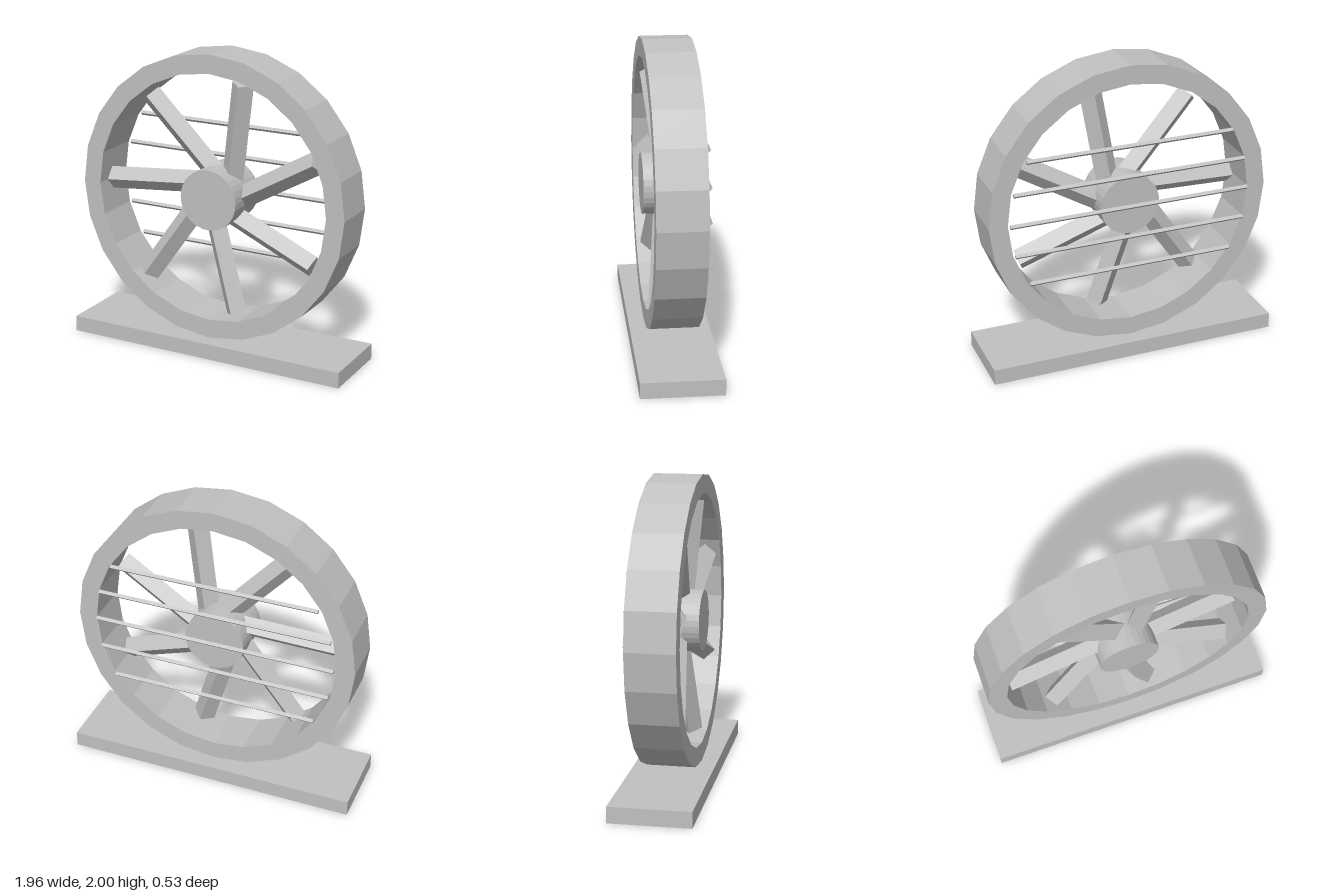
import * as THREE from 'three';

const AXLE_Y = 1.053;
const BLADES = 7;

export function createModel() {
  const gray = new THREE.MeshStandardMaterial({ color: 0xc0c0c0, flatShading: true });
  gray.name = 'plain gray';

  const model = new THREE.Group();
  model.name = 'fan';
  const add = (name, geometry, parent = model) => {
    const mesh = new THREE.Mesh(geometry, gray);
    mesh.name = name;
    parent.add(mesh);
    return mesh;
  };

  // Flat foot slab
  add('base', new THREE.BoxGeometry(1.96, 0.105, 0.526)).position.y = 0.0525;

  // Round housing: a rectangular section turned in 24 facets
  const inner = 0.823, outer = 0.947, half = 0.158;
  const section = [
    [inner, -half], [outer, -half], [outer, half], [inner, half], [inner, -half],
  ].map(([r, h]) => new THREE.Vector2(r, h));
  const ring = new THREE.LatheGeometry(section, 24).rotateX(Math.PI / 2);
  add('housingRing', ring).position.y = AXLE_Y;

  // Hub and blades
  const rotor = new THREE.Group();
  rotor.name = 'rotor';
  rotor.position.y = AXLE_Y;
  model.add(rotor);
  const hub = new THREE.CylinderGeometry(0.2, 0.2, 0.316, 32).rotateX(Math.PI / 2);
  add('hub', hub, rotor).position.z = 0.0105;

  // Square bar blades, turned on edge, set off the axle and leaning forward
  const start = 0.1, tip = 0.784;
  const bar = new THREE.BoxGeometry(tip - start, 0.105, 0.105)
    .rotateX(THREE.MathUtils.degToRad(47))
    .translate((start + tip) / 2, 0, 0)
    .rotateY(THREE.MathUtils.degToRad(-4.5))
    .translate(0, -0.077, 0);
  for (let i = 0; i < BLADES; i++) {
    const blade = add('blade', bar, rotor);
    blade.rotation.z = THREE.MathUtils.degToRad(81.3) + (i / BLADES) * Math.PI * 2;
  }

  // Rear guard: horizontal diamond rods cut to a circle
  for (let i = -2; i <= 2; i++) {
    const y = i * 0.2105;
    const length = 2 * Math.sqrt(0.813 ** 2 - y ** 2);
    const rod = new THREE.CylinderGeometry(0.016, 0.016, length, 4).rotateZ(Math.PI / 2);
    add('guardRod', rod).position.set(0, AXLE_Y + y, -0.177);
  }

  return model;
}
